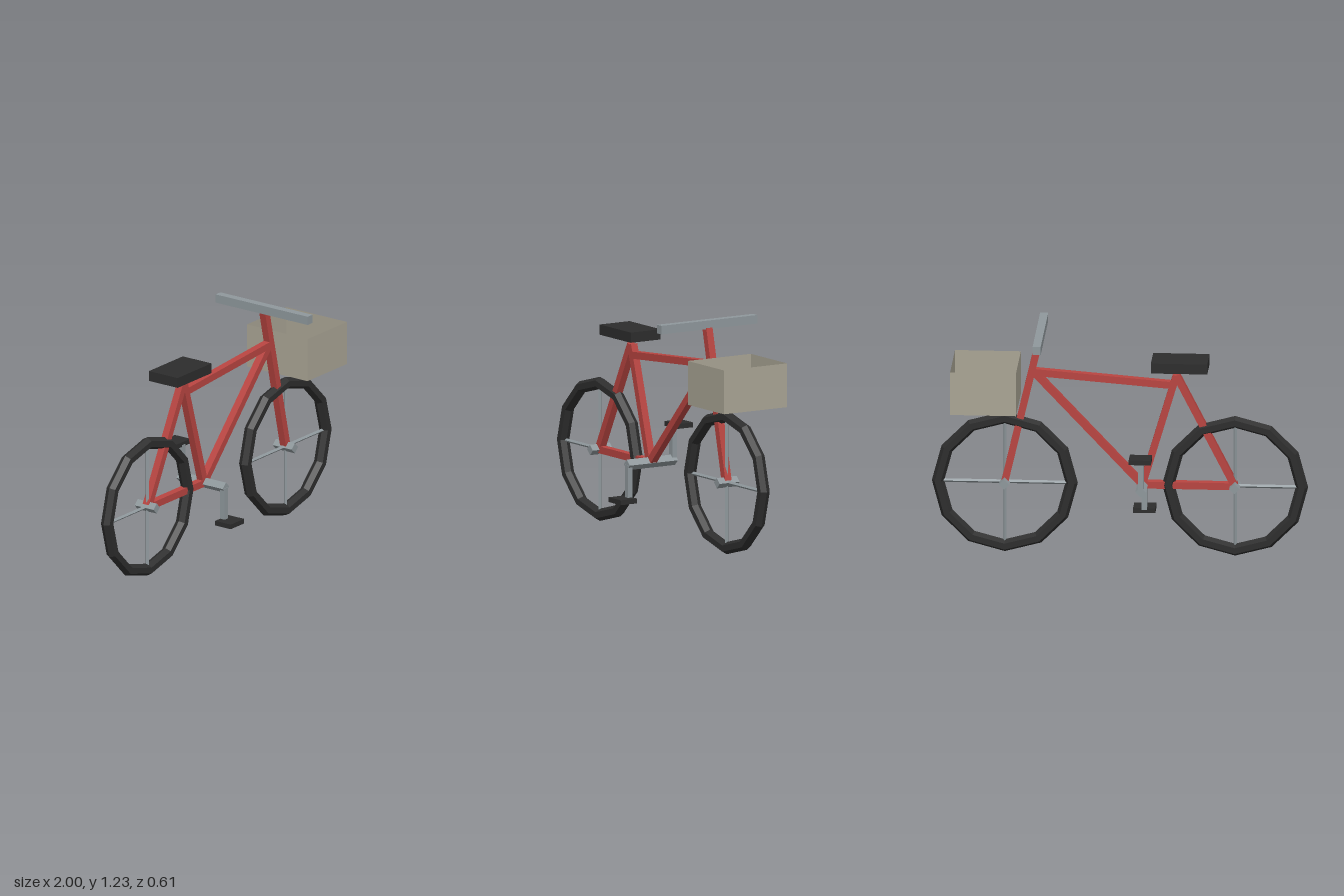
import * as THREE from 'three';

const mat = (name, color) => {
  const m = new THREE.MeshStandardMaterial({ color });
  m.name = name;
  return m;
};

export function createModel() {
  const bike = new THREE.Group();
  bike.name = 'bicycle';

  const red = mat('frame red', 0xb94541);
  const black = mat('rubber black', 0x2d2d2d);
  const metal = mat('metal grey', 0x8f989c);
  const wicker = mat('basket beige', 0xaaa595);
  black.flatShading = metal.flatShading = true;
  wicker.side = THREE.DoubleSide;

  const add = (parent, name, geometry, material, x = 0, y = 0, z = 0) => {
    const mesh = new THREE.Mesh(geometry, material);
    mesh.name = name;
    mesh.position.set(x, y, z);
    parent.add(mesh);
    return mesh;
  };
  const box = (name, material, w, h, d, x, y, z) =>
    add(bike, name, new THREE.BoxGeometry(w, h, d), material, x, y, z);

  // four-sided rod, upright until rotated
  const rod = (r, length) => new THREE.CylinderGeometry(r, r, length, 4);

  // square frame tube between two points of the centre plane
  const tube = (name, [x1, y1], [x2, y2]) => {
    const length = Math.hypot(x2 - x1, y2 - y1);
    const mesh = box(name, red, length, 0.038, 0.04, (x1 + x2) / 2, (y1 + y2) / 2, 0);
    mesh.rotation.z = Math.atan2(y2 - y1, x2 - x1);
  };

  // wheels: tyre, crossed spokes and hub
  const axleY = 0.39;
  for (const [name, x] of [['rearWheel', -0.612], ['frontWheel', 0.612]]) {
    const wheel = new THREE.Group();
    wheel.name = name;
    wheel.position.set(x, axleY, 0);
    add(wheel, 'tyre', new THREE.TorusGeometry(0.355, 0.033, 6, 12), black);
    add(wheel, 'uprightSpoke', rod(0.01, 0.66), metal);
    add(wheel, 'levelSpoke', rod(0.01, 0.66), metal).rotation.z = Math.PI / 2;
    add(wheel, 'hub', rod(0.028, 0.126), metal).rotation.x = Math.PI / 2;
    bike.add(wheel);
  }

  // frame
  const rear = [-0.612, axleY], crank = [-0.12, axleY];
  const seatTop = [-0.3, 1.0], head = [0.457, 1.004];
  tube('chainStay', rear, crank);
  tube('seatStay', rear, seatTop);
  tube('seatTube', crank, seatTop);
  tube('downTube', crank, head);
  tube('topTube', [-0.285, 0.945], head);
  tube('forkAndStem', [0.612, axleY], [0.423, 1.205]);

  // saddle and handlebar
  box('saddle', black, 0.3, 0.055, 0.19, -0.32, 1.062, 0);
  box('handlebar', metal, 0.043, 0.046, 0.61, 0.423, 1.213, 0);

  // cranks and pedals, one down on +z and one up on -z
  add(bike, 'crankAxle', rod(0.029, 0.306), metal, -0.12, axleY, 0).rotation.x = Math.PI / 2;
  for (const s of [1, -1]) {
    const side = s > 0 ? 'near' : 'far';
    box(side + 'CrankArm', metal, 0.03, 0.185, 0.03, -0.12, axleY - s * 0.0925, s * 0.141);
    box(side + 'Pedal', black, 0.118, 0.026, 0.103, -0.12, axleY - s * 0.188, s * 0.178);
  }

  // open basket made of single-sheet floor and walls
  const basket = new THREE.Group();
  basket.name = 'basket';
  basket.position.set(0.715, 0.815, 0);
  const w = 0.35, h = 0.236, d = 0.4;
  add(basket, 'floor', new THREE.PlaneGeometry(w, d), wicker).rotation.x = Math.PI / 2;
  for (const s of [1, -1]) {
    add(basket, 'longWall', new THREE.PlaneGeometry(d, h), wicker, s * w / 2, h / 2, 0).rotation.y = s * Math.PI / 2;
    add(basket, 'shortWall', new THREE.PlaneGeometry(w, h), wicker, 0, h / 2, s * d / 2).rotation.y = s > 0 ? 0 : Math.PI;
  }
  bike.add(basket);

  return bike;
}
